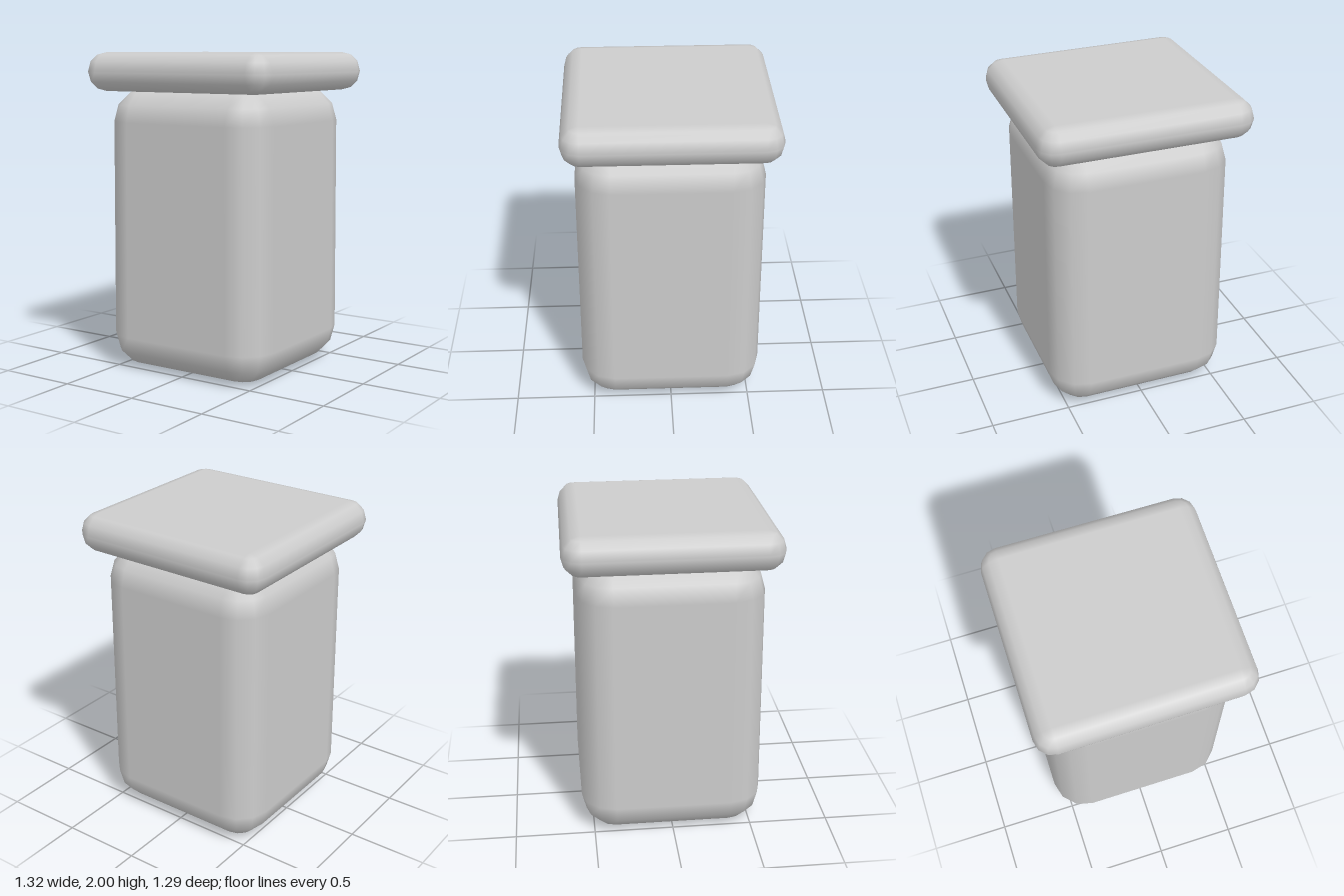
import * as THREE from 'three';

// Rounded box with three facets per quarter-round, built from stacked rings.
// warp(point) adds the slight taper or skew of the part.
function roundedBlock(w, h, d, r, warp) {
  const STEPS = 3, step = Math.PI / 2 / STEPS;
  const pos = [], nor = [], idx = [];
  const cols = 4 * (STEPS + 1);
  const p = new THREE.Vector3();
  const add = (x, y, z, nx, ny, nz) => {
    warp(p.set(x, y, z));
    pos.push(p.x, p.y, p.z);
    nor.push(nx, ny, nz);
  };
  for (const side of [-1, 1]) {
    for (let i = 0; i <= STEPS; i++) {
      const lat = side < 0 ? -Math.PI / 2 + i * step : i * step;
      for (let q = 0; q < 4; q++) {
        const sx = q === 0 || q === 3 ? 1 : -1, sz = q < 2 ? 1 : -1;
        for (let k = 0; k <= STEPS; k++) {
          const a = q * Math.PI / 2 + k * step;
          const nx = Math.cos(a) * Math.cos(lat), ny = Math.sin(lat), nz = Math.sin(a) * Math.cos(lat);
          add(sx * (w / 2 - r) + nx * r, side * (h / 2 - r) + ny * r, sz * (d / 2 - r) + nz * r, nx, ny, nz);
        }
      }
    }
  }
  const rows = 2 * (STEPS + 1);
  for (let i = 0; i < rows - 1; i++) {
    for (let j = 0; j < cols; j++) {
      const a = i * cols + j, b = i * cols + (j + 1) % cols;
      idx.push(a, a + cols, b, b, a + cols, b + cols);
    }
  }
  // flat bottom and top
  const bottom = pos.length / 3, top = bottom + 1, last = (rows - 1) * cols;
  add(0, -h / 2, 0, 0, -1, 0);
  add(0, h / 2, 0, 0, 1, 0);
  for (let j = 0; j < cols; j++) {
    const n = (j + 1) % cols;
    idx.push(bottom, j, n, top, last + n, last + j);
  }
  const g = new THREE.BufferGeometry();
  g.setAttribute('position', new THREE.Float32BufferAttribute(pos, 3));
  g.setAttribute('normal', new THREE.Float32BufferAttribute(nor, 3));
  g.setIndex(idx);
  return g;
}

export function createModel() {
  const group = new THREE.Group();
  group.name = 'lidded block';
  const grey = new THREE.MeshStandardMaterial({ color: 0xcccccc });
  grey.name = 'light grey';

  // body, a little narrower towards the top
  const body = new THREE.Mesh(roundedBlock(1.15, 1.78, 1.14, 0.21, (p) => {
    const s = 1 - 0.009 * p.y;
    p.x *= s;
    p.z *= s;
  }), grey);
  body.name = 'body';
  body.position.y = 0.89;

  // lid, slightly shallower towards its left end
  const lid = new THREE.Mesh(roundedBlock(1.32, 0.24, 1.286, 0.115, (p) => {
    p.z = p.z * (1 - 0.012 * p.x) - 0.003;
  }), grey);
  lid.name = 'lid';
  lid.position.y = 1.88;

  group.add(body, lid);
  return group;
}
